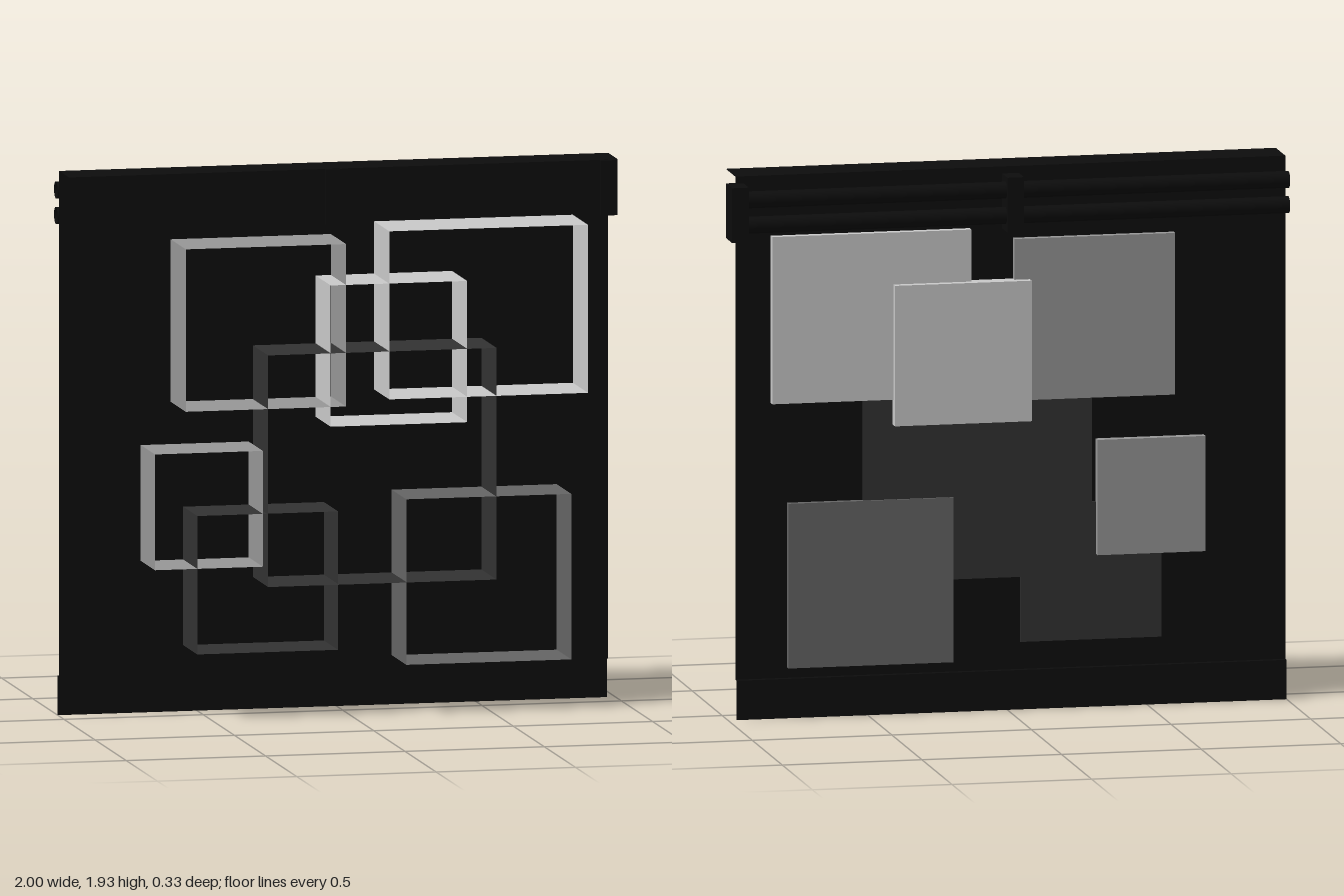
import * as THREE from 'three';

const flat = (name, color) =>
  new THREE.MeshStandardMaterial({ name, color, side: THREE.DoubleSide });

export function createModel() {
  const black = flat('black', 0x0d0d0d);
  const charcoal = flat('charcoal', 0x333333);
  const grey = flat('grey', 0x666666);
  const silver = flat('silver', 0x999999);
  const pale = flat('pale', 0xcccccc);

  const model = new THREE.Group();
  model.name = 'wallDisplay';

  const add = (name, geometry, material, x, y, z) => {
    const mesh = new THREE.Mesh(geometry, material);
    mesh.name = name;
    mesh.position.set(x, y, z);
    model.add(mesh);
    return mesh;
  };

  const left = -1, right = 0.97, width = right - left, midX = (left + right) / 2;
  const panelZ = -0.078;

  // Thin hanging panel, with its hem set back a little
  add('backPanel', new THREE.PlaneGeometry(width, 1.79), black, midX, 1.035, panelZ);
  add('hem', new THREE.PlaneGeometry(width, 0.14), black, midX, 0.07, -0.1);
  add('hemLedge', new THREE.PlaneGeometry(width, 0.022), black, midX, 0.14, -0.089).rotation.x = -Math.PI / 2;

  // Flat flange along the top
  add('topFlange', new THREE.PlaneGeometry(width, 0.158), black, midX, 1.93, 0.001).rotation.x = -Math.PI / 2;

  // Two open tubes behind the panel
  for (const y of [1.765, 1.855]) {
    const tube = new THREE.CylinderGeometry(0.03, 0.03, width, 20, 1, true);
    add('rail', tube, black, midX, y, -0.13).rotation.z = Math.PI / 2;
  }

  // Brackets that hold the rails
  for (const x of [-0.016, 0.97]) {
    add('railBracket', new THREE.BoxGeometry(0.06, 0.195, 0.1), black, x, 1.8075, -0.116);
  }

  // Boxes with open fronts that pass through the panel
  const openBox = (name, material, x0, x1, y0, y1, z0, z1) => {
    const geometry = new THREE.BoxGeometry(x1 - x0, y1 - y0, z1 - z0);
    const index = Array.from(geometry.index.array);
    index.splice(24, 6); // leave out the front face
    geometry.setIndex(index);
    geometry.clearGroups();
    add(name, geometry, material, (x0 + x1) / 2, (y0 + y1) / 2, (z0 + z1) / 2);
  };
  openBox('upperLeftBox', pale, 0.13, 0.843, 1.12, 1.715, -0.107, 0.167);
  openBox('upperMiddleBox', pale, -0.08, 0.41, 1.03, 1.53, -0.135, 0.165);
  openBox('upperRightBox', silver, -0.6, -0.025, 1.1, 1.675, -0.105, 0.167);
  openBox('middleRightBox', silver, -0.707, -0.32, 0.54, 0.95, -0.112, 0.15);
  openBox('centreBox', charcoal, -0.305, 0.515, 0.47, 1.29, -0.093, 0.168);
  openBox('lowerLeftBox', grey, 0.193, 0.785, 0.177, 0.763, -0.102, 0.158);
  openBox('lowerRightBox', charcoal, -0.555, -0.05, 0.237, 0.727, -0.085, 0.15);

  return model;
}
